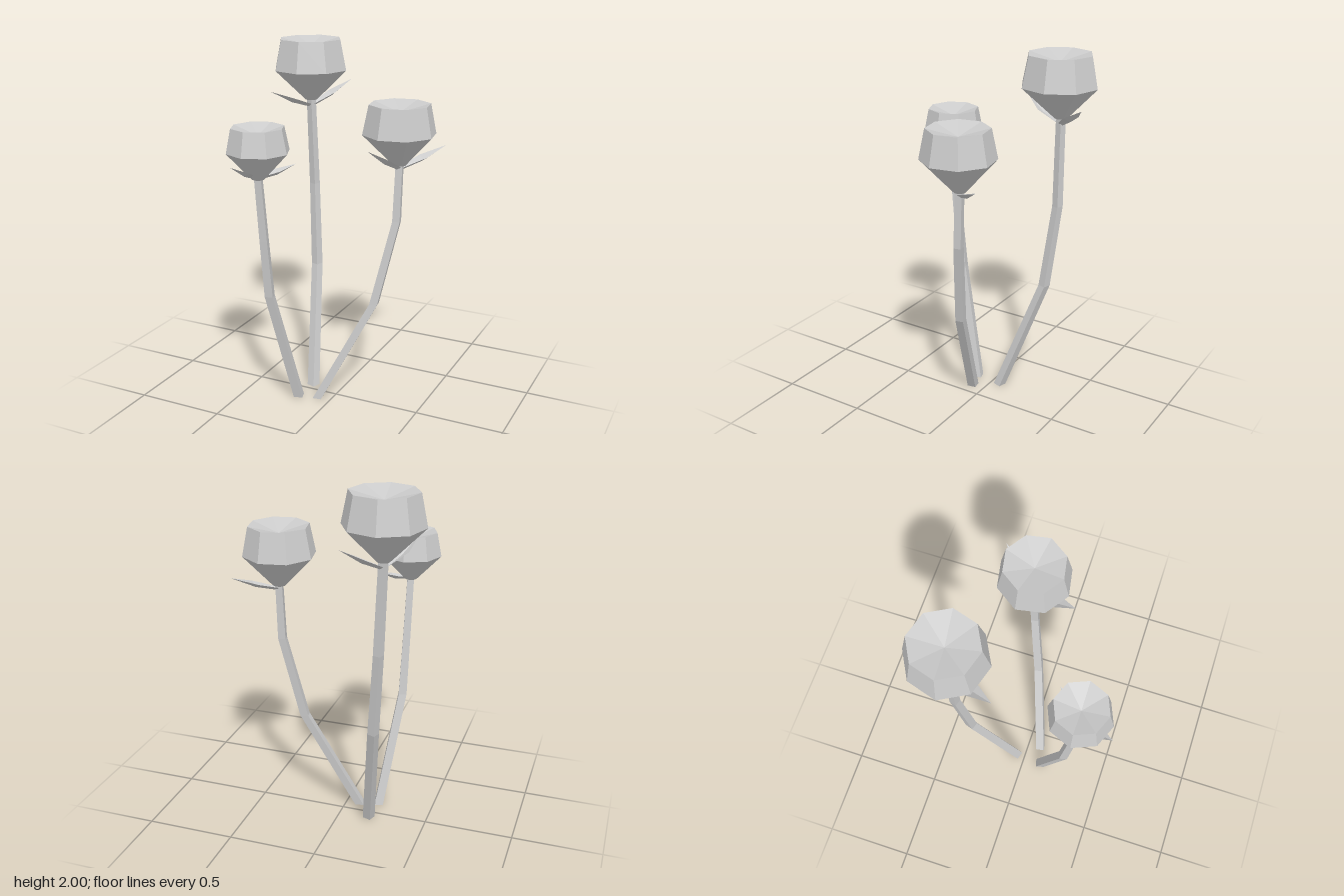
import * as THREE from 'three';

const material = new THREE.MeshStandardMaterial({ color: 0xcccccc, flatShading: true, side: THREE.DoubleSide });

// Skin horizontal rings {x, y, z, r} from bottom to top; r = 0 closes an end.
function loft(rings, sides, phase) {
  const pos = [];
  const point = (ring, i) => {
    const a = phase + (i / sides) * Math.PI * 2;
    return [ring.x + Math.cos(a) * ring.r, ring.y, ring.z + Math.sin(a) * ring.r];
  };
  for (let k = 0; k < rings.length - 1; k++) {
    const lo = rings[k], hi = rings[k + 1];
    for (let i = 0; i < sides; i++) {
      const a = point(lo, i), b = point(hi, i), c = point(hi, i + 1), d = point(lo, i + 1);
      if (hi.r > 0) pos.push(...a, ...b, ...c);
      if (lo.r > 0) pos.push(...a, ...c, ...d);
    }
  }
  return toGeometry(pos);
}

function toGeometry(pos) {
  const geometry = new THREE.BufferGeometry();
  geometry.setAttribute('position', new THREE.Float32BufferAttribute(pos, 3));
  geometry.computeVertexNormals();
  return geometry;
}

// Thin pointed leaf, folded along its spine, from base to tip.
function leafGeometry(base, tip, halfWidth) {
  const b = new THREE.Vector3(...base), t = new THREE.Vector3(...tip);
  const side = new THREE.Vector3(b.z - t.z, 0, t.x - b.x).normalize();
  const at = (f, lift, w) => b.clone().lerp(t, f).addScaledVector(side, w).add(new THREE.Vector3(0, lift, 0)).toArray();
  const pos = [];
  for (const s of [-1, 1]) {
    const root = at(0, 0, 0), rootEdge = at(0.06, 0.015, s * 0.02);
    const spine = at(0.5, -0.015, 0), edge = at(0.5, 0.008, s * halfWidth), end = at(1, 0, 0);
    const tris = [[root, spine, rootEdge], [rootEdge, spine, edge], [spine, end, edge]];
    for (const [p, q, r] of tris) pos.push(...(s > 0 ? [p, r, q] : [p, q, r]).flat());
  }
  return toGeometry(pos);
}

const flowers = [
  { // tall back flower
    name: 'backFlower', center: [-0.314, -0.318], radius: 0.213, rim: 0.178, heights: [1.655, 1.83, 2.0], turn: -6,
    stem: [[-0.175, 0, -0.053], [-0.265, 0.68, -0.288], [-0.302, 1.16, -0.337], [-0.318, 1.66, -0.331]], stemTurn: 18,
    leafBase: 1.61, leaves: [[-0.155, 1.755, -0.53], [-0.43, 1.73, -0.065]],
  },
  { // leaning flower on the left
    name: 'leftFlower', center: [0.323, -0.098], radius: 0.199, rim: 0.166, heights: [1.39, 1.56, 1.72], turn: 12,
    stem: [[-0.08, 0, 0.076], [0.218, 0.6, -0.036], [0.32, 1.08, -0.093], [0.325, 1.395, -0.106]], stemTurn: -10,
    leafBase: 1.36, leaves: [[0.51, 1.475, -0.315], [0.25, 1.51, 0.147]],
  },
  { // short front flower
    name: 'frontFlower', center: [-0.285, 0.336], radius: 0.17, rim: 0.143, heights: [1.35, 1.495, 1.625], turn: 0,
    stem: [[-0.188, 0, 0.108], [-0.274, 0.67, 0.27], [-0.279, 1.0, 0.306], [-0.284, 1.355, 0.342]], stemTurn: -15,
    leafBase: 1.345, leaves: [[-0.14, 1.415, 0.19], [-0.34, 1.447, 0.523]],
  },
];

function createFlower(f) {
  const flower = new THREE.Group();
  flower.name = f.name;
  const add = (name, geometry) => {
    const mesh = new THREE.Mesh(geometry, material);
    mesh.name = name;
    flower.add(mesh);
  };

  // Square stem, thinner toward the top
  const stemRadii = [0.035, 0.032, 0.029, 0.026];
  const stem = f.stem.map(([x, y, z], i) => ({ x, y, z, r: stemRadii[i] }));
  const rings = [{ ...stem[0], r: 0 }, ...stem, { ...stem[3], r: 0 }];
  add('stem', loft(rings, 4, THREE.MathUtils.degToRad(f.stemTurn + 45)));

  // Eight-sided head with a shallow hollow on top
  const [x, z] = f.center;
  const [low, wide, top] = f.heights;
  const neck = { x: stem[3].x, y: low, z: stem[3].z };
  add('head', loft([
    { ...neck, r: 0 }, { ...neck, r: 0.034 },
    { x, y: wide, z, r: f.radius }, { x, y: top, z, r: f.rim }, { x, y: top - 0.045, z, r: 0 },
  ], 8, THREE.MathUtils.degToRad(f.turn)));

  // Two opposite leaves under the head
  for (const tip of f.leaves) add('leaf', leafGeometry([neck.x, f.leafBase, neck.z], tip, f.radius * 0.21));
  return flower;
}

export function createModel() {
  const model = new THREE.Group();
  model.name = 'flowers';
  for (const f of flowers) model.add(createFlower(f));
  return model;
}
